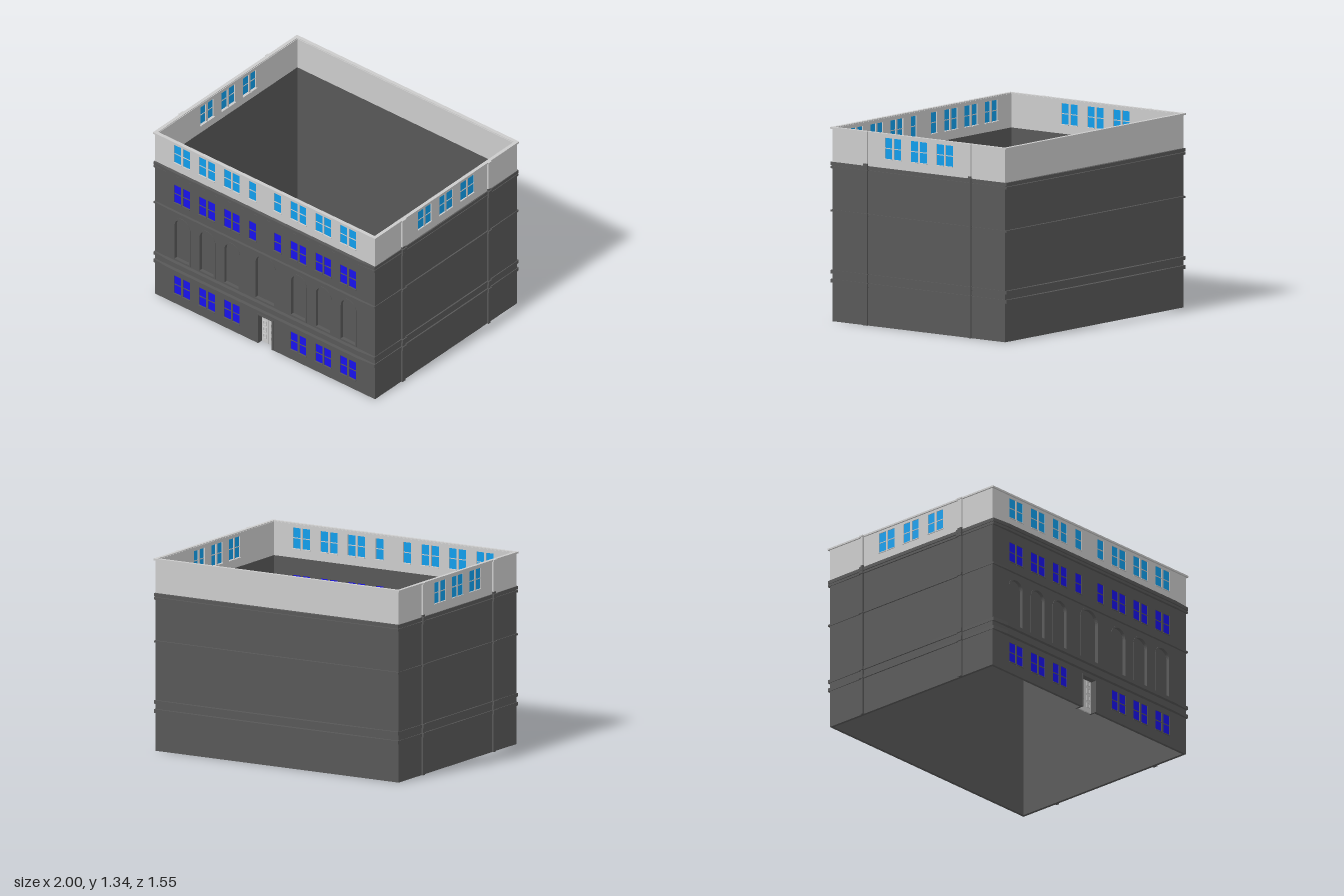
import * as THREE from 'three';

const T = 0.02; // wall thickness
const mat = (color) => new THREE.MeshStandardMaterial({ color, flatShading: true, side: THREE.DoubleSide });

export function createModel() {
  const model = new THREE.Group();
  const dark = mat(0x585858), grey = mat(0xcccccc), blue = mat(0x1811ec), sky = mat(0x109eec);

  const add = (parent, name, geometry, material) => {
    const mesh = new THREE.Mesh(geometry, material);
    mesh.name = name;
    parent.add(mesh);
    return mesh;
  };
  const box = (parent, name, material, w, h, d, x, y, z) =>
    add(parent, name, new THREE.BoxGeometry(w, h, d).translate(x, y, z), material);
  const extrude = (shape, depth, z) =>
    new THREE.ExtrudeGeometry(shape, { depth, bevelEnabled: false, curveSegments: 10 }).translate(0, 0, z);
  const poly = (pts) => new THREE.Shape(pts.map(([x, y]) => new THREE.Vector2(x, y)));
  const rect = (x0, y0, x1, y1) => poly([[x0, y0], [x1, y0], [x1, y1], [x0, y1]]);
  const arch = (x, r, y0, spring) => {
    const s = new THREE.Shape();
    s.moveTo(x - r, y0);
    s.lineTo(x + r, y0);
    s.lineTo(x + r, spring);
    s.absarc(x, spring, r, 0, Math.PI, false);
    s.closePath();
    return s;
  };

  // A facade is built in its own plane: outer face at z = 0, inside towards -z
  const facade = (name, x, z, turn) => {
    const g = new THREE.Group();
    g.name = name;
    g.position.set(x, 0, z);
    g.rotation.y = turn;
    model.add(g);
    return g;
  };
  const front = facade('frontFacade', 0, 0.75, 0);
  const back = facade('backFacade', 0, -0.75, Math.PI);
  const left = facade('leftFacade', 0.98, 0, Math.PI / 2);
  const right = facade('rightFacade', -0.98, 0, -Math.PI / 2);

  // Window pane: cuts the wall, then fits glass, glazing bar and sill
  const pane = (g, wall, x, y, w, glass, trim) => {
    const h = 0.145;
    wall.holes.push(rect(x - w / 2, y, x + w / 2, y + h));
    box(g, 'windowGlass', glass, w, h, 0.006, x, y + h / 2, -0.008);
    box(g, 'glazingBar', trim, w, 0.006, 0.012, x, y + h / 2, -0.008);
    box(g, 'windowSill', trim, w + 0.006, 0.006, 0.037, x, y - 0.003, -0.0125);
  };
  const pairedWindow = (g, wall, x, y, glass, trim) => {
    for (const s of [-1, 1]) pane(g, wall, x + s * 0.039, y, 0.062, glass, trim);
  };

  // Front walls with windows, niches and doorway
  const lower = poly([[-0.98, 0], [-0.075, 0], [-0.075, 0.245], [0.075, 0.245], [0.075, 0],
    [0.98, 0], [0.98, 1.1], [-0.98, 1.1]]);
  const upper = rect(-0.98, 1.1, 0.98, 1.335);
  const niche = (x, r, spring) => {
    lower.holes.push(arch(x, r, 0.362, spring));
    const frame = arch(x, r, 0.362, spring);
    frame.holes.push(arch(x, r - 0.012, 0.372, spring));
    add(front, 'nicheSurround', extrude(frame, 0.033, -0.03), dark);
    add(front, 'nicheBack', extrude(arch(x, r - 0.006, 0.366, spring), 0.008, -0.03), dark);
  };
  for (const s of [-1, 1]) {
    for (const x of [0.297, 0.518, 0.74]) {
      pairedWindow(front, lower, s * x, 0.082, blue, dark);
      pairedWindow(front, lower, s * x, 0.835, blue, dark);
      pairedWindow(front, upper, s * x, 1.165, sky, grey);
      niche(s * x, 0.075, 0.648);
    }
    pane(front, lower, s * 0.111, 0.835, 0.062, blue, dark);
    pane(front, upper, s * 0.111, 1.165, 0.062, sky, grey);
  }
  niche(0, 0.095, 0.66);
  add(front, 'frontWall', extrude(lower, T, -T), dark);
  add(front, 'frontTopWall', extrude(upper, T, -T), grey);

  // Recessed double door
  const jamb = poly([[-0.075, 0], [-0.062, 0], [-0.062, 0.235], [0.062, 0.235], [0.062, 0],
    [0.075, 0], [0.075, 0.245], [-0.075, 0.245]]);
  add(front, 'doorSurround', extrude(jamb, 0.063, -0.06), dark);
  for (const s of [-1, 1]) {
    box(front, 'doorLeaf', grey, 0.06, 0.235, 0.01, s * 0.031, 0.1175, -0.045);
    for (let i = 0; i < 4; i++) {
      const x = s * 0.034, y = 0.052 + i * 0.054;
      const panel = rect(x - 0.017, y - 0.018, x + 0.017, y + 0.018);
      panel.holes.push(rect(x - 0.011, y - 0.012, x + 0.011, y + 0.012));
      add(front, 'doorPanel', extrude(panel, 0.005, -0.04), grey);
    }
  }

  // Plain back wall
  box(back, 'backWall', dark, 1.96, 1.1, T, 0, 0.55, -T / 2);
  box(back, 'backTopWall', grey, 1.96, 0.235, T, 0, 1.2175, -T / 2);

  // Side walls with top windows and pilasters
  const bands = [[0.267, 0.292, 0.777], [0.33, 0.354, 0.777], [0.757, 0.77, 0.77],
    [1.055, 1.071, 0.772], [1.076, 1.1, 0.777]];
  for (const [g, s] of [[left, 1], [right, -1]]) {
    box(g, 'sideWall', dark, 1.5 - 2 * T, 1.1, T, 0, 0.55, -T / 2);
    const top = rect(-0.75 + T, 1.1, 0.75 - T, 1.335);
    for (const x of [-0.225, 0, 0.225]) pairedWindow(g, top, x, 1.165, sky, grey);
    add(g, 'sideTopWall', extrude(top, T, -T), grey);
    for (const [z, w] of [[0.457, 0.034], [-0.447, 0.022]]) {
      const x = -s * z;
      box(g, 'pilaster', dark, w, 1.117, 0.026, x, 0.5585, -0.001);
      box(g, 'topPilaster', grey, w, 0.22, 0.026, x, 1.227, -0.001);
      box(g, 'pilasterCap', grey, w + 0.01, 0.012, 0.03, x, 1.334, 0.003);
      for (const [y0, y1] of bands)
        box(g, 'pilasterCollar', dark, w + 0.012, y1 - y0 + 0.004, 0.04, x, (y0 + y1) / 2, 0);
    }
  }

  // Horizontal rings: slightly bowed string courses and the roof rim
  const ring = (name, pts, y0, y1, material) => {
    const s = poly(pts.map(([x, z]) => [x, -z]));
    s.holes.push(rect(-0.965, -0.735, 0.965, 0.735));
    add(model, name, extrude(s, y1 - y0, 0).rotateX(-Math.PI / 2).translate(0, y0, 0), material);
  };
  for (const [y0, y1, z] of bands) {
    const half = [[0.24, -z], [0.55, 0.003 - z], [0.984, -0.764], [0.99, -0.3], [0.99, 0.2],
      [0.984, 0.762], [0.85, z - 0.002]];
    const mirrored = half.map(([x, pz]) => [-x, pz]).reverse();
    ring('stringCourse', [...half, ...mirrored], y0, y1, dark);
  }
  ring('roofRim', [[-0.99, -0.762], [0.99, -0.762], [0.99, 0.762], [-0.99, 0.762]], 1.328, 1.34, grey);

  return model;
}
